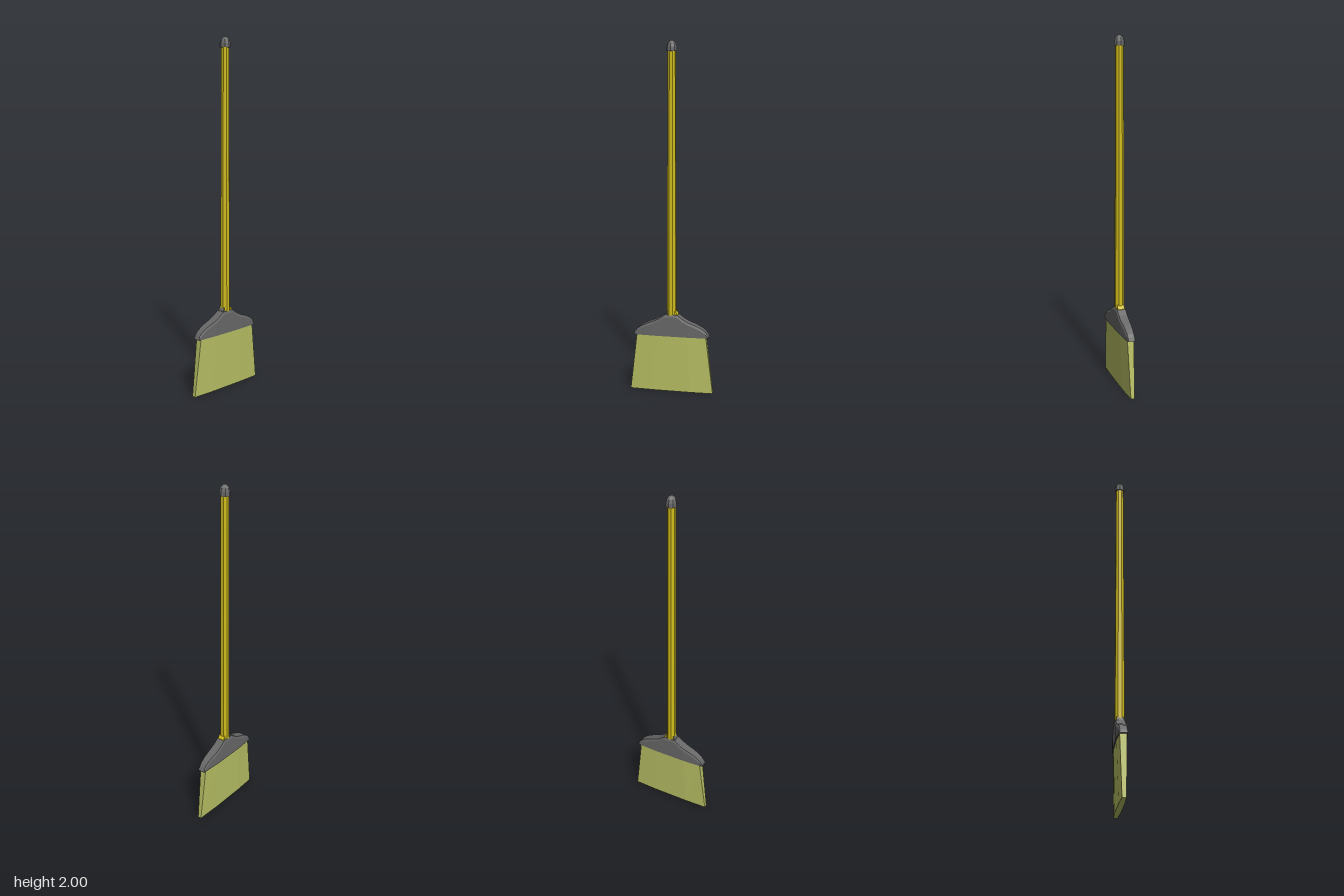
import * as THREE from 'three';

// Flat-shaded solid from cross-sections ordered along +x, each { x, loop: [[y, z], ...] }
function loftX(sections) {
  const pos = [];
  const put = (s, j) => {
    const [y, z] = s.loop[j % s.loop.length];
    const dx = s.shift ? s.shift[j % s.loop.length] : 0;
    pos.push(s.x + dx, y, z);
  };
  const n = sections[0].loop.length;
  for (let i = 0; i < sections.length - 1; i++) {
    const a = sections[i], b = sections[i + 1];
    for (let j = 0; j < n; j++) {
      put(a, j); put(b, j); put(b, j + 1);
      put(a, j); put(b, j + 1); put(a, j + 1);
    }
  }
  const first = sections[0], last = sections[sections.length - 1];
  for (let j = 1; j < n - 1; j++) {
    put(first, 0); put(first, j); put(first, j + 1);
    put(last, 0); put(last, j + 1); put(last, j);
  }
  const g = new THREE.BufferGeometry();
  g.setAttribute('position', new THREE.Float32BufferAttribute(pos, 3));
  g.computeVertexNormals();
  return g;
}

function flat(g) {
  const f = g.toNonIndexed();
  f.computeVertexNormals();
  return f;
}

// Mirror a list of [x, ...] rows to negative x, ordered from left to right
const mirrorRows = (rows) => [
  ...rows.map(([x, ...r]) => [-x, ...r]).reverse(),
  ...rows,
];

export function createModel() {
  const yellow = new THREE.MeshStandardMaterial({ color: 0xd0bc1c });
  const grey = new THREE.MeshStandardMaterial({ color: 0x686868 });
  const straw = new THREE.MeshStandardMaterial({ color: 0xb8c064 });

  const group = new THREE.Group();
  const add = (name, geometry, material) => {
    const m = new THREE.Mesh(geometry, material);
    m.name = name;
    group.add(m);
    return m;
  };

  // Tapered eight-sided pole
  const pole = new THREE.CylinderGeometry(0.023, 0.028, 1.51, 8);
  pole.rotateY(Math.PI / 8);
  pole.translate(0, 1.2, 0);
  add('handle', flat(pole), yellow);

  // Rounded tip on the pole
  const tipProfile = [
    [0, 1.943], [0.03, 1.943], [0.029, 1.966], [0.023, 1.985], [0.013, 1.996], [0.006, 2], [0, 2],
  ].map(([r, y]) => new THREE.Vector2(r, y));
  add('handleTip', flat(new THREE.LatheGeometry(tipProfile, 8)), grey);

  // Shoulder: x, top height, half depth
  const shoulder = mirrorRows([
    [0.035, 0.462, 0.03], [0.07, 0.436, 0.03], [0.1, 0.42, 0.03], [0.14, 0.405, 0.028],
    [0.175, 0.388, 0.026], [0.2, 0.37, 0.0245], [0.213, 0.353, 0.0235], [0.221, 0.336, 0.0225],
  ]).map(([x, top, d]) => {
    const c = Math.min(0.014, (top - 0.334) * 0.5);
    return {
      x,
      loop: [[0.334, d], [top - c, d], [top, d - 0.005], [top, 0.005 - d], [top - c, -d], [0.334, -d]],
    };
  });
  add('shoulder', loftX(shoulder), grey);

  // Small flares where the pole meets the shoulder
  const flare = (x, y) => ({ x, loop: [[0.455, 0.02], [y, 0.02], [y, -0.02], [0.455, -0.02]] });
  add('rightFlare', loftX([flare(-0.033, 0.464), flare(-0.022, 0.485)]), grey);
  add('leftFlare', loftX([flare(0.022, 0.485), flare(0.038, 0.463)]), yellow);

  // Bristle block: bottom x, top x, bottom half depth, top half depth
  const bristles = mirrorRows([
    [0.11, 0.092, 0.016, 0.025],
    [0.243, 0.202, 0.011, 0.019],
  ]).map(([x, tx, b, t]) => {
    const s = Math.sign(x) * Math.abs(tx) - x;
    return { x, shift: [0, s, s, 0], loop: [[0, b], [0.337, t], [0.337, -t], [0, -b]] };
  });
  for (const s of bristles) if (s.x < 0) s.shift = s.shift.map((v) => Math.abs(v));
  add('bristles', loftX(bristles), straw);

  return group;
}
